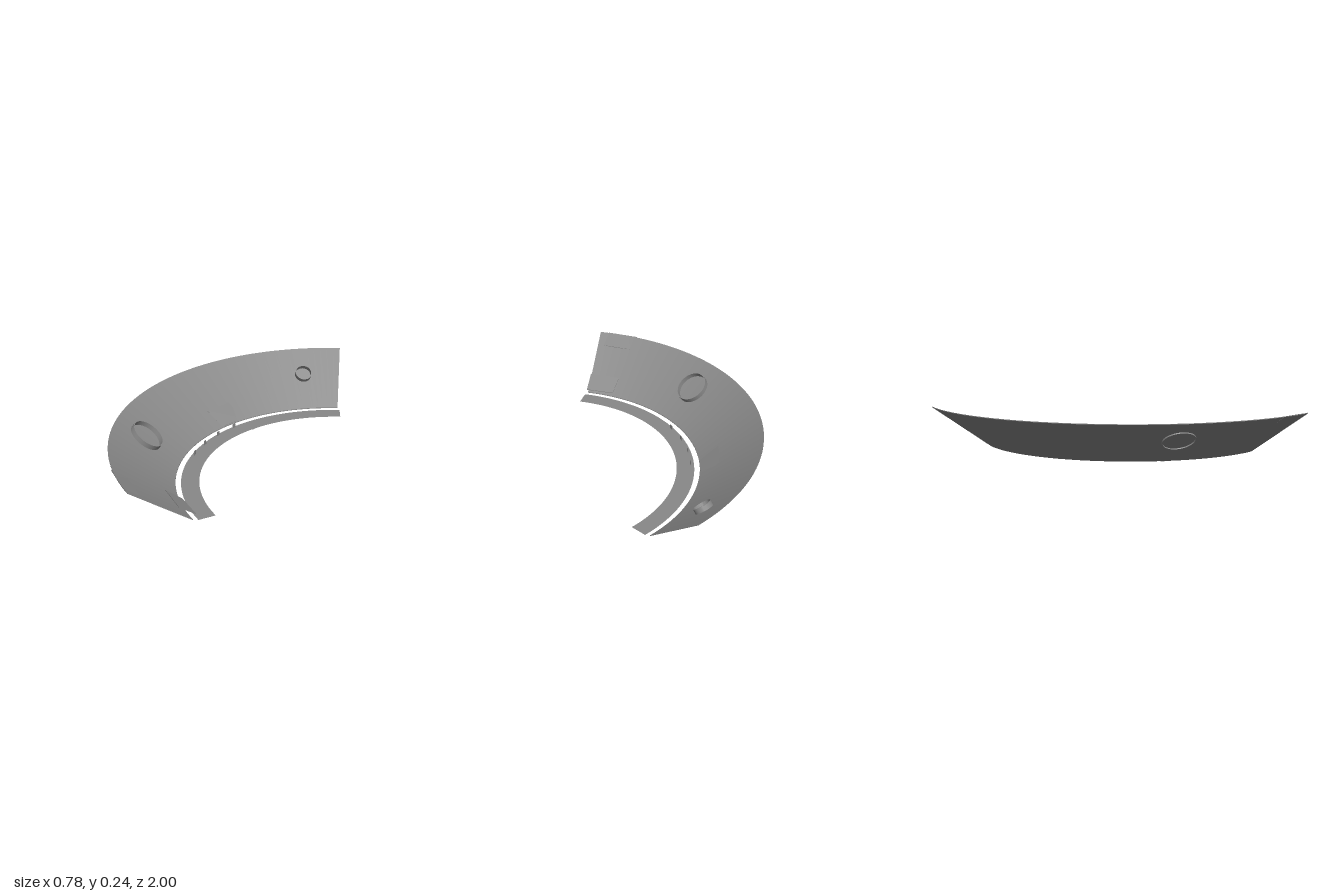
import * as THREE from 'three';
import { toCreasedNormals } from 'three/addons/utils/BufferGeometryUtils.js';

const grey = new THREE.MeshStandardMaterial({ color: 0x898989 });
const greyThin = new THREE.MeshStandardMaterial({ color: 0x898989, side: THREE.DoubleSide });
const HALF = Math.PI / 3; // the sector spans 120 degrees

const arc = (cx, r, y, t) => new THREE.Vector3(cx - r * Math.cos(t), y, r * Math.sin(t));

// Closed sheet from a row of [inner, outer] edge points, given thickness downwards
function sheet(rows, thickness) {
  const pos = [], index = [];
  rows.forEach(([a, b]) => {
    pos.push(a.x, a.y, a.z, b.x, b.y, b.z);
    pos.push(b.x, b.y - thickness, b.z, a.x, a.y - thickness, a.z);
  });
  const n = rows.length - 1;
  for (let i = 0; i < n; i++) {
    for (let j = 0; j < 4; j++) {
      const a = i * 4 + j, b = i * 4 + (j + 1) % 4;
      index.push(a, b, b + 4, a, b + 4, a + 4);
    }
  }
  const e = n * 4;
  index.push(0, 2, 1, 0, 3, 2, e, e + 1, e + 2, e, e + 2, e + 3);
  const g = new THREE.BufferGeometry();
  g.setAttribute('position', new THREE.Float32BufferAttribute(pos, 3));
  g.setIndex(index);
  return toCreasedNormals(g, 0.5);
}

export function createModel() {
  const model = new THREE.Group();
  const add = (name, geometry, material = grey) => {
    const mesh = new THREE.Mesh(geometry, material);
    mesh.name = name;
    model.add(mesh);
    return mesh;
  };

  // Sloping conical shell
  const rows = [];
  for (let i = 0; i <= 64; i++) {
    const t = HALF * (i / 32 - 1);
    rows.push([arc(0.745, 0.825, 0.014, t), arc(0.767, 1.155, 0.242, t)]);
  }
  add('slopedShell', sheet(rows, 0.004));

  // Flat, paper-thin inner ring
  const ring = new THREE.RingGeometry(0.72, 0.808, 64, 1, Math.PI - HALF, 2 * HALF);
  ring.rotateX(-Math.PI / 2);
  add('innerRing', ring, greyThin).position.set(0.756, 0.01, 0);

  // Thin-walled collars set through the shell, square to its slope
  const collar = (name, r, length, x, y, z) => {
    const h = length / 2, inner = r - 0.004;
    const profile = [[inner, -h], [r, -h], [r, h], [inner, h], [inner, -h]]
      .map(([px, py]) => new THREE.Vector2(px, py));
    const mesh = add(name, toCreasedNormals(new THREE.LatheGeometry(profile, 40), 0.5));
    const axis = new THREE.Vector3(0.755 - x, 0, -z).setLength(0.59).setY(0.807).normalize();
    mesh.quaternion.setFromUnitVectors(new THREE.Vector3(0, 1, 0), axis);
    mesh.position.set(x, y, z);
  };
  collar('largeCollar', 0.086, 0.036, -0.18, 0.149, 0.36);
  collar('smallCollar', 0.046, 0.026, 0.093, 0.15, -0.75);

  // Thin flat plates lying on the slope: low and high corners of each end
  const plate = (name, ...c) => {
    const p = c.map((v) => new THREE.Vector3(...v));
    add(name, sheet([[p[0], p[1]], [p[2], p[3]]], 0.003));
  };
  plate('endPlate', [0.21, 0.04, 0.62], [0.16, 0.096, 0.68],
    [0.34, 0.04, 0.70], [0.30, 0.096, 0.775]);
  plate('rimPlate', [0.05, 0.194, 0.82], [0.005, 0.243, 0.875],
    [0.19, 0.194, 0.92], [0.145, 0.243, 0.975]);
  plate('sidePlate', [-0.03, 0.018, -0.31], [-0.125, 0.088, -0.31],
    [-0.07, 0.018, -0.16], [-0.165, 0.088, -0.16]);

  // Small thin tabs above the ring
  for (const z of [-0.185, -0.063, 0.063, 0.185]) {
    const t = Math.asin(z / 0.79);
    const tab = add('tab', new THREE.BoxGeometry(0.003, 0.022, 0.02));
    tab.position.copy(arc(0.756, 0.79, 0.027, t));
    tab.rotation.y = t;
  }

  // Feet under the ring
  for (const side of [-1, 1]) {
    add('foot', new THREE.CylinderGeometry(0.027, 0.027, 0.01, 24))
      .position.set(0.043, 0.005, side * 0.262);
  }
  return model;
}
